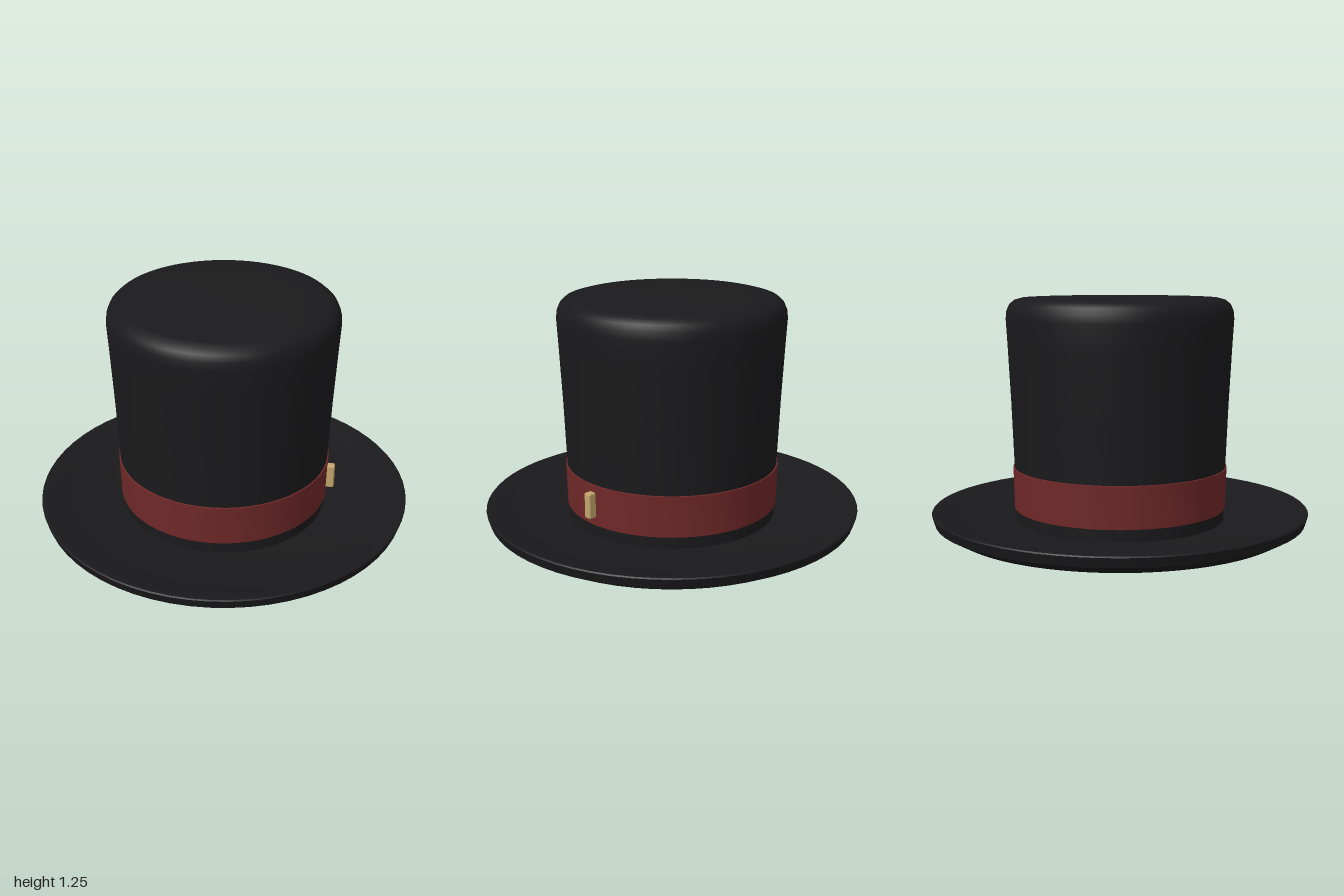
import * as THREE from 'three';
import { toCreasedNormals } from 'three/addons/utils/BufferGeometryUtils.js';
import { RoundedBoxGeometry } from 'three/addons/geometries/RoundedBoxGeometry.js';

const SEGMENTS = 64;

// Turns a [radius, height] profile round the y axis; rising profiles face outward
function turned(name, profile, material, crease = 0.7) {
  const points = profile.map(([r, y]) => new THREE.Vector2(r, y));
  const geometry = toCreasedNormals(new THREE.LatheGeometry(points, SEGMENTS), crease);
  const mesh = new THREE.Mesh(geometry, material);
  mesh.name = name;
  return mesh;
}

export function createModel() {
  const felt = new THREE.MeshStandardMaterial({ color: 0x1a1a1c });
  const ribbon = new THREE.MeshStandardMaterial({ color: 0x702828 });
  const brass = new THREE.MeshStandardMaterial({ color: 0xc4a66c });

  const hat = new THREE.Group();
  hat.name = 'topHat';

  // Crown: widens slightly upward, with a rounded top edge
  hat.add(turned('crown', [
    [0.555, 0.06], [0.556, 0.14], [0.562, 0.36], [0.575, 0.7], [0.59, 1.0],
    [0.598, 1.14], [0.594, 1.18], [0.58, 1.213], [0.555, 1.236], [0.515, 1.247],
    [0.4, 1.248], [0, 1.248],
  ], felt));

  // Hollow inside of the crown
  hat.add(turned('lining', [
    [0, 1.2], [0.5, 1.2], [0.545, 1.16], [0.535, 0.9], [0.515, 0.36], [0.51, 0.07],
  ], felt));

  // Brim: rolled underside, bevelled rim and a dished top
  hat.add(turned('brim', [
    [0.51, 0.07], [0.53, 0.04], [0.58, 0.012], [0.66, 0], [0.78, 0.013], [0.9, 0.027],
    [0.985, 0.075], [1, 0.125], [0.995, 0.131], [0.97, 0.13],
    [0.9, 0.105], [0.78, 0.086], [0.66, 0.078], [0.55, 0.075],
  ], felt));

  // Ribbon band, slightly proud of the crown
  hat.add(turned('band', [
    [0.55, 0.14], [0.564, 0.14], [0.569, 0.357], [0.555, 0.36],
  ], ribbon));

  // Small upright buckle, standing out from the band on the left of the front
  const buckle = new THREE.Mesh(new RoundedBoxGeometry(0.042, 0.136, 0.06, 2, 0.009), brass);
  const angle = THREE.MathUtils.degToRad(33.5);
  buckle.name = 'buckle';
  buckle.position.set(0.577 * Math.sin(angle), 0.252, 0.577 * Math.cos(angle));
  buckle.rotation.y = angle;
  hat.add(buckle);

  return hat;
}
